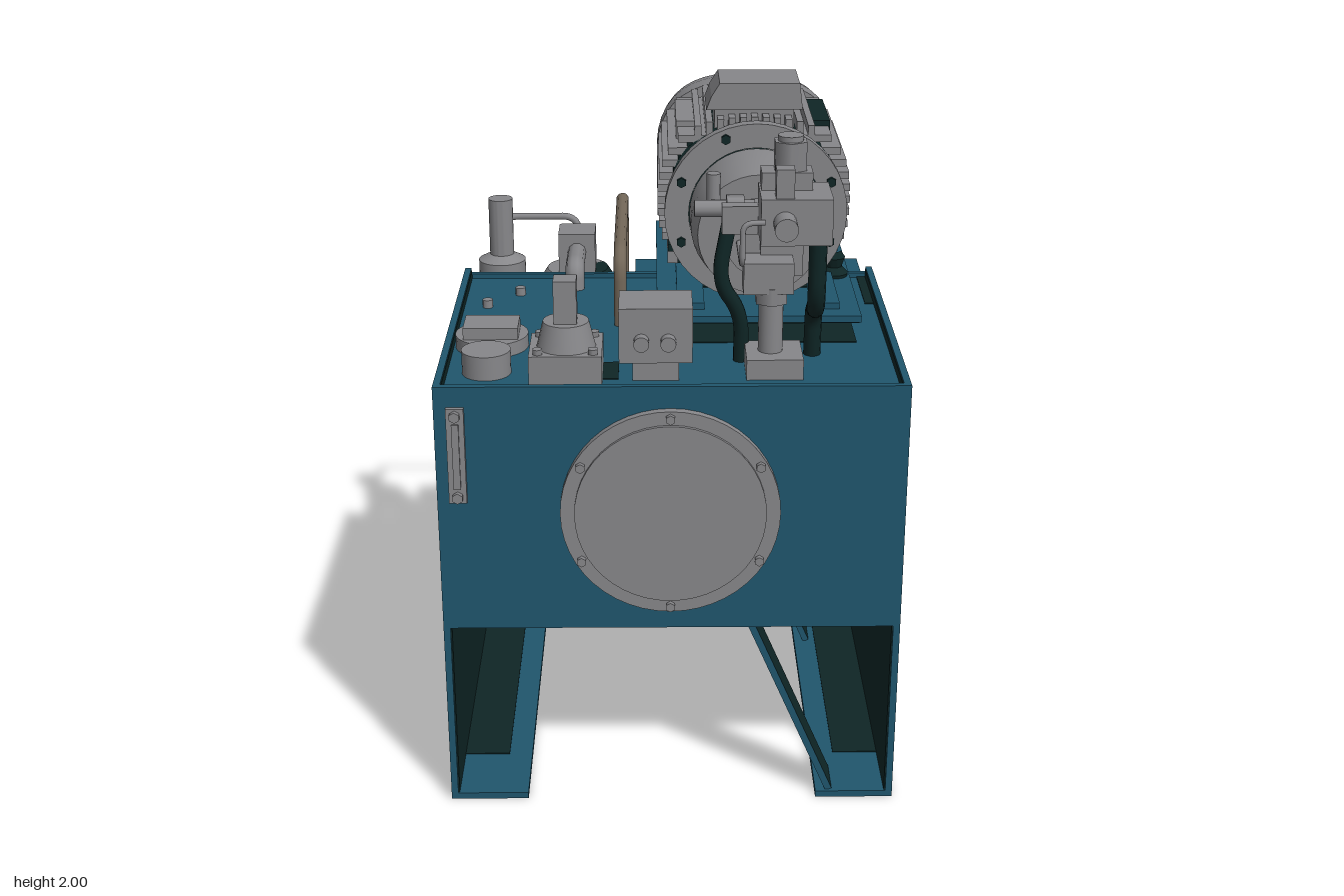
import * as THREE from 'three';
import { toCreasedNormals } from 'three/addons/utils/BufferGeometryUtils.js';

const mat = (name, color) => {
  const m = new THREE.MeshStandardMaterial({ color });
  m.name = name;
  return m;
};

export function createModel() {
  const root = new THREE.Group();
  root.name = 'hydraulicPowerUnit';
  const blue = mat('tankBlue', 0x20566d), gray = mat('metalGray', 0x87878a);
  const dark = mat('darkGreen', 0x0f2626), brown = mat('pipeBronze', 0x75695a);

  // Helpers
  const add = (name, geo, m) => {
    const mesh = new THREE.Mesh(geo, m);
    mesh.name = name;
    root.add(mesh);
    return mesh;
  };
  // box from its min and max along each axis
  const box = (name, m, x0, x1, y0, y1, z0, z1) => {
    const b = add(name, new THREE.BoxGeometry(x1 - x0, y1 - y0, z1 - z0), m);
    b.position.set((x0 + x1) / 2, (y0 + y1) / 2, (z0 + z1) / 2);
  };
  // cylinder centred at a point along an axis
  const cyl = (name, m, x, y, z, r, len, axis = 'y', sides = 24, r2 = r) => {
    const c = add(name, new THREE.CylinderGeometry(r2, r, len, sides), m);
    c.position.set(x, y, z);
    if (axis === 'x') c.rotation.z = -Math.PI / 2;
    if (axis === 'z') c.rotation.x = Math.PI / 2;
  };
  // turned part, profile as [radius, height], over an arc given in degrees
  const lathe = (pts, sides, from = 0, to = 360) => new THREE.LatheGeometry(pts.map(p => new THREE.Vector2(...p)),
    sides, from * Math.PI / 180, (to - from) * Math.PI / 180);
  const turned = (name, m, pts, x, y, z, axis = 'y', from = 0, to = 360) => {
    const t = add(name, toCreasedNormals(lathe(pts, 40, from, to), 0.6), m);
    t.position.set(x, y, z);
    if (axis === 'z') t.rotation.x = Math.PI / 2;
  };
  // bent pipe: straight runs joined by rounded corners
  const pipe = (name, m, r, pts, bend = 0.05) => {
    const v = pts.map(p => new THREE.Vector3(...p));
    const path = new THREE.CurvePath();
    let last = v[0];
    for (let i = 1; i < v.length - 1; i++) {
      const cut = (q) => v[i].clone().add(q.clone().sub(v[i]).setLength(Math.min(bend, q.distanceTo(v[i]) * 0.45)));
      const a = cut(v[i - 1]), b = cut(v[i + 1]);
      path.add(new THREE.LineCurve3(last, a));
      path.add(new THREE.QuadraticBezierCurve3(a, v[i], b));
      last = b;
    }
    path.add(new THREE.LineCurve3(last, v[v.length - 1]));
    add(name, new THREE.TubeGeometry(path, 60, r, 10), m);
  };

  // Tank with recessed lid, side plates and feet
  box('tankBody', blue, -0.64, 0.64, 0.58, 1.3, -0.18, 0.86);
  box('frontRim', blue, -0.64, 0.64, 1.3, 1.33, 0.84, 0.86);
  box('backRim', blue, -0.64, 0.64, 1.3, 1.315, -0.18, -0.16);
  for (const s of [-1, 1]) {
    const side = (a, b) => (s > 0 ? [a, b] : [-b, -a]);
    box('sidePlate', blue, ...side(0.64, 0.66), 0, 1.33, -0.18, 0.86);
    box('footFlange', blue, ...side(0.43, 0.64), 0, 0.02, -0.18, 0.86);
    box('sidePlateLining', dark, ...side(0.636, 0.64), 0.02, 0.58, -0.18, 0.855);
    box('footLining', dark, ...side(0.5, 0.64), 0.02, 0.023, -0.18, 0.65);
    box('rimLining', dark, ...side(0.637, 0.64), 1.3, 1.327, -0.16, 0.84);
  }
  // Diagonal braces under the tank
  for (const z of [-0.11, 0.79]) {
    const brace = add('diagonalBrace', new THREE.BoxGeometry(0.02, 0.61, 0.12), [dark, dark, blue, blue, blue, blue]);
    brace.position.set(0.35, 0.3, z);
    brace.rotation.z = Math.atan2(0.24, 0.56);
  }
  // Dark coated areas of the back wall and lid
  box('backWallCoat', dark, -0.64, -0.06, 0.62, 1.28, -0.184, -0.18);
  box('backWallCoat', dark, -0.06, 0.64, 1.08, 1.25, -0.184, -0.18);
  for (const [x0, x1, z0, z1] of [[0, 0.55, -0.16, 0.44], [0.61, 0.637, -0.16, 0.1], [-0.035, 0.05, 0.46, 0.57],
    [-0.195, -0.15, 0.6, 0.73], [-0.07, 0.06, 0.815, 0.83]]) box('lidCoat', dark, x0, x1, 1.3, 1.303, z0, z1);

  // Round inspection cover with bolts
  cyl('coverRing', gray, -0.005, 0.955, 0.872, 0.31, 0.025, 'z', 48);
  cyl('coverDisc', gray, -0.005, 0.955, 0.885, 0.27, 0.02, 'z', 48);
  for (let i = 0; i < 6; i++) {
    const a = Math.PI / 6 + i * Math.PI / 3;
    cyl('coverBolt', gray, -0.005 + 0.29 * Math.cos(a), 0.955 + 0.29 * Math.sin(a), 0.89, 0.014, 0.02, 'z', 6);
  }
  // Level gauge
  box('gaugeBody', gray, -0.625, -0.575, 0.985, 1.27, 0.86, 0.875);
  box('gaugeGlass', gray, -0.61, -0.59, 1.03, 1.225, 0.875, 0.882);
  for (const y of [1.005, 1.25]) cyl('gaugeBolt', gray, -0.6, y, 0.88, 0.016, 0.02, 'z', 6);

  // Motor shelf and mounting plate
  box('rearShelf', blue, -0.11, 0.64, 1.25, 1.27, -0.45, -0.18);
  box('shelfLip', blue, -0.11, 0.64, 1.21, 1.25, -0.45, -0.43);
  for (const x of [-0.11, 0.62]) box('shelfGusset', blue, x, x + 0.02, 1.21, 1.25, -0.43, -0.18);
  box('shelfUnderside', dark, -0.09, 0.62, 1.246, 1.25, -0.43, -0.18);
  box('shelfTopCoat', dark, 0, 0.54, 1.27, 1.273, -0.44, -0.18);
  box('motorPlate', blue, -0.04, 0.56, 1.37, 1.39, -0.5, 0.46);
  box('plateUnderside', dark, -0.035, 0.555, 1.366, 1.37, -0.495, 0.455);
  box('plateTopCoat', dark, 0.03, 0.48, 1.39, 1.393, -0.48, 0.2);
  for (const x of [0.06, 0.46]) {
    box('motorRail', blue, x - 0.04, x + 0.04, 1.39, 1.41, -0.4, 0.4);
    cyl('rubberMount', dark, x, 1.335, -0.09, 0.03, 0.07);
    cyl('shelfMount', dark, x, 1.32, -0.38, 0.03, 0.1);
  }

  // Electric motor: rounded-square section around its axis
  const mx = 0.255, my = 1.65, A = 0.292, B = 0.256, P = 2.6;
  const edge = (t, a, b) => a * Math.pow(1 - Math.pow(Math.abs(t / b), P), 1 / P);
  const squared = (name, m, pts) => {
    const g = lathe(pts, 48).rotateX(Math.PI / 2);
    const pos = g.attributes.position;
    for (let i = 0; i < pos.count; i++) {
      const x = pos.getX(i), y = pos.getY(i), r = Math.hypot(x, y) || 1;
      const k = Math.pow(Math.pow(Math.abs(x / r / A), P) + Math.pow(Math.abs(y / r / B), P) || 1, -1 / P);
      pos.setXY(i, x * k, y * k);
    }
    add(name, toCreasedNormals(g, 0.6), m).position.set(mx, my, 0);
  };
  squared('fanCover', gray, [[0, -0.615], [0.55, -0.61], [0.74, -0.597], [0.88, -0.56], [0.97, -0.5],
    [1, -0.43], [1, -0.345], [0.88, -0.345]]);
  squared('motorCore', dark, [[0.5, -0.35], [0.87, -0.35], [0.87, 0.14], [0.5, 0.14]]);
  for (let i = -5; i <= 5; i++) {
    const y = i * 0.038, w = edge(y, A, B), x = i * 0.034, h = edge(x, B, A);
    box('sideFin', i < -3 ? dark : gray, mx - w, mx + w, my + y - 0.011, my + y + 0.011, -0.345, 0.14);
    box('topFin', gray, mx + x - 0.01, mx + x + 0.01, my, my + h, -0.345, 0.14);
    box('bottomFin', dark, mx + x - 0.008, mx + x + 0.008, my - h, my, -0.345, 0.14);
  }
  for (const s of [-1, 1]) {
    const px = mx + s * 0.205, fx = mx + s * 0.2;
    box('liftingPad', s > 0 ? dark : gray, px - 0.03, px + 0.03, 1.785, 1.868, -0.25, 0.03);
    box('motorFoot', gray, fx - 0.06, fx + 0.06, 1.41, 1.46, -0.25, 0.02);
  }
  // Terminal box with overhanging lid
  box('terminalBox', gray, 0.135, 0.375, 1.84, 1.93, -0.07, 0.09);
  const lidShape = new THREE.Shape([[0.11, 1.92], [0.4, 1.92], [0.39, 2], [0.15, 2], [0.125, 1.96]]
    .map(p => new THREE.Vector2(...p)));
  add('terminalLid', new THREE.ExtrudeGeometry(lidShape, { depth: 0.19, bevelEnabled: false }), gray)
    .position.z = -0.085;

  // End shield with a dark underside, flange and bell housing
  const shield = [[0, 0.135], [0.245, 0.135], [0.238, 0.225]];
  turned('endShield', gray, shield, mx, my, 0, 'z', 50, 310);
  turned('endShieldBottom', dark, shield, mx, my, 0, 'z', -50, 50);
  turned('motorFlange', gray, [[0, 0.225], [0.272, 0.225], [0.272, 0.265], [0.2, 0.265]], mx, 1.645, 0, 'z');
  turned('bellHousing', gray, [[0.198, 0.265], [0.196, 0.38], [0.178, 0.48], [0, 0.48]], mx, 1.645, 0, 'z');
  for (let i = 0; i < 8; i++) {
    const a = Math.PI / 8 + i * Math.PI / 4;
    cyl('flangeBolt', dark, mx + 0.24 * Math.cos(a), my + 0.24 * Math.sin(a), 0.27, 0.015, 0.016, 'z', 6);
  }
  // Pump and valve block
  cyl('pumpBody', gray, 0.255, 1.655, 0.53, 0.1, 0.12, 'z');
  box('pumpPort', gray, 0.25, 0.37, 1.57, 1.76, 0.5, 0.62);
  cyl('sidePort', gray, 0.15, 1.75, 0.565, 0.025, 0.17, 'x', 12);
  cyl('sidePortNut', gray, 0.18, 1.75, 0.565, 0.04, 0.05, 'x', 6);
  cyl('portRiser', gray, 0.12, 1.79, 0.52, 0.02, 0.1, 'y', 12);
  box('sideValve', gray, 0.14, 0.24, 1.7, 1.78, 0.61, 0.65);
  box('valveBlock', gray, 0.24, 0.435, 1.71, 1.84, 0.615, 0.79);
  box('valveCoil', gray, 0.245, 0.385, 1.84, 1.89, 0.62, 0.7);
  cyl('valveKnob', gray, 0.325, 1.925, 0.655, 0.05, 0.09, 'y', 6);
  cyl('valveCap', gray, 0.325, 1.965, 0.655, 0.035, 0.04);
  box('valveSensor', gray, 0.28, 0.33, 1.84, 1.92, 0.73, 0.78);
  cyl('valvePlug', gray, 0.305, 1.775, 0.825, 0.032, 0.07, 'z');
  pipe('pilotPipe', gray, 0.008, [[0.25, 1.78, 0.8], [0.19, 1.78, 0.81], [0.19, 1.66, 0.81], [0.19, 1.66, 0.6]], 0.03);
  // Return line down into the tank
  box('returnFlange', gray, 0.21, 0.37, 1.3, 1.36, 0.58, 0.74);
  cyl('returnPipe', gray, 0.28, 1.46, 0.655, 0.035, 0.24);
  box('returnElbow', gray, 0.2, 0.34, 1.54, 1.63, 0.6, 0.7);
  cyl('returnNut', gray, 0.28, 1.53, 0.655, 0.05, 0.05, 'y', 6);
  // Rubber hoses in front
  pipe('pressureHose', dark, 0.025, [[0.4, 1.72, 0.75], [0.4, 1.5, 0.74], [0.41, 1.46, 0.55], [0.41, 1.3, 0.53]], 0.1);
  pipe('suctionHose', dark, 0.022, [[0.16, 1.72, 0.62], [0.13, 1.56, 0.63], [0.2, 1.45, 0.6], [0.2, 1.3, 0.58]], 0.08);
  turned('hoseFitting', dark, [[0, 0], [0.04, 0], [0.045, 0.03], [0.025, 0.05], [0.035, 0.08], [0.02, 0.1]], 0.51, 1.37, 0.08);

  // Fittings along the front of the lid
  cyl('fillerBase', gray, -0.525, 1.32, 0.455, 0.107, 0.04, 'y', 32);
  box('fillerBlock', gray, -0.605, -0.445, 1.34, 1.375, 0.4, 0.515);
  cyl('breatherCap', gray, -0.525, 1.335, 0.67, 0.07, 0.07, 'y', 32);
  box('gaugePlate', gray, -0.4, -0.195, 1.3, 1.385, 0.58, 0.775);
  for (const x of [-0.375, -0.22]) for (const z of [0.605, 0.75]) cyl('plateBolt', gray, x, 1.39, z, 0.015, 0.02, 'y', 6);
  cyl('valveCone', gray, -0.297, 1.42, 0.68, 0.085, 0.08, 'y', 24, 0.065);
  box('valveStem', gray, -0.33, -0.265, 1.45, 1.585, 0.65, 0.715);
  box('switchBoxBase', gray, -0.11, 0.02, 1.3, 1.37, 0.62, 0.74);
  box('switchBox', gray, -0.148, 0.058, 1.36, 1.52, 0.6, 0.76);
  for (const x of [-0.085, -0.01]) cyl('switchButton', gray, x, 1.425, 0.775, 0.022, 0.03, 'z', 16);
  for (const [x, z] of [[-0.565, 0.115], [-0.47, 0]]) cyl('lidPlug', gray, x, 1.31, z, 0.016, 0.03, 'y', 12);

  // Drip tray behind the tank
  box('trayFloor', gray, -0.63, 0.02, 0.585, 0.6, -0.9, -0.18);
  for (const z of [-0.9, -0.195]) box('trayEnd', gray, -0.63, 0.02, 0.6, 0.672, z, z + 0.015);
  for (const x of [-0.63, 0.005]) box('traySide', gray, x, x + 0.015, 0.6, 0.672, -0.885, -0.195);
  box('trayCoat', dark, -0.5, -0.1, 0.6, 0.603, -0.38, -0.195);
  cyl('drainPlug', gray, -0.54, 0.65, -0.63, 0.03, 0.1, 'y', 12);
  cyl('drainNut', gray, -0.54, 0.7, -0.63, 0.05, 0.035, 'y', 6);
  box('drainArm', gray, -0.555, -0.525, 0.685, 0.71, -0.6, -0.51);

  // Large filter, dark on the side facing the tank
  const bowl = [[0, 0.76], [0.07, 0.76], [0.115, 0.79], [0.115, 1.16], [0.125, 1.17], [0.125, 1.25], [0.1, 1.29], [0, 1.29]];
  turned('filterBowl', gray, bowl, -0.3, 0, -0.31, 'y', 125, 315);
  turned('filterBowlInner', dark, bowl, -0.3, 0, -0.31, 'y', -45, 125);
  box('filterHead', gray, -0.36, -0.24, 1.28, 1.42, -0.37, -0.25);
  cyl('filterHeadNut', gray, -0.3, 1.3, -0.46, 0.03, 0.08, 'z', 6);
  pipe('filterReturn', gray, 0.03, [[-0.3, 1.36, -0.26], [-0.3, 1.37, -0.06], [-0.3, 1.3, -0.055]]);
  // Slim filter
  turned('slimFilter', gray, [[0, 0.75], [0.05, 0.75], [0.065, 0.78], [0.065, 1.12], [0.078, 1.13], [0.078, 1.29],
    [0.04, 1.31], [0.04, 1.5], [0, 1.5]], -0.557, 0, -0.4);
  cyl('filterInlet', gray, -0.595, 1.22, -0.27, 0.042, 0.18, 'z');
  pipe('crossPipe', gray, 0.012, [[-0.557, 1.38, -0.4], [-0.557, 1.38, -0.59], [-0.31, 1.38, -0.59],
    [-0.3, 1.21, -0.59], [-0.3, 1.21, -0.43]]);
  // Bronze overflow pipe
  pipe('overflowPipe', brown, 0.02, [[-0.15, 0.64, -0.38], [-0.15, 1.52, -0.38], [-0.15, 1.52, 0.28], [-0.15, 1.3, 0.28]], 0.07);
  // Suction valve and hose low on the back wall
  cyl('suctionFlange', dark, 0.05, 0.76, -0.2, 0.075, 0.04, 'z');
  cyl('suctionValve', dark, 0.05, 0.76, -0.26, 0.05, 0.1, 'z', 12);
  cyl('valveHandle', dark, 0.05, 0.82, -0.26, 0.02, 0.06, 'y', 10);
  pipe('suctionHoseRear', dark, 0.025, [[0.05, 0.76, -0.28], [0.03, 0.75, -0.42], [-0.27, 0.73, -0.43], [-0.3, 0.77, -0.33]], 0.12);
  return root;
}
